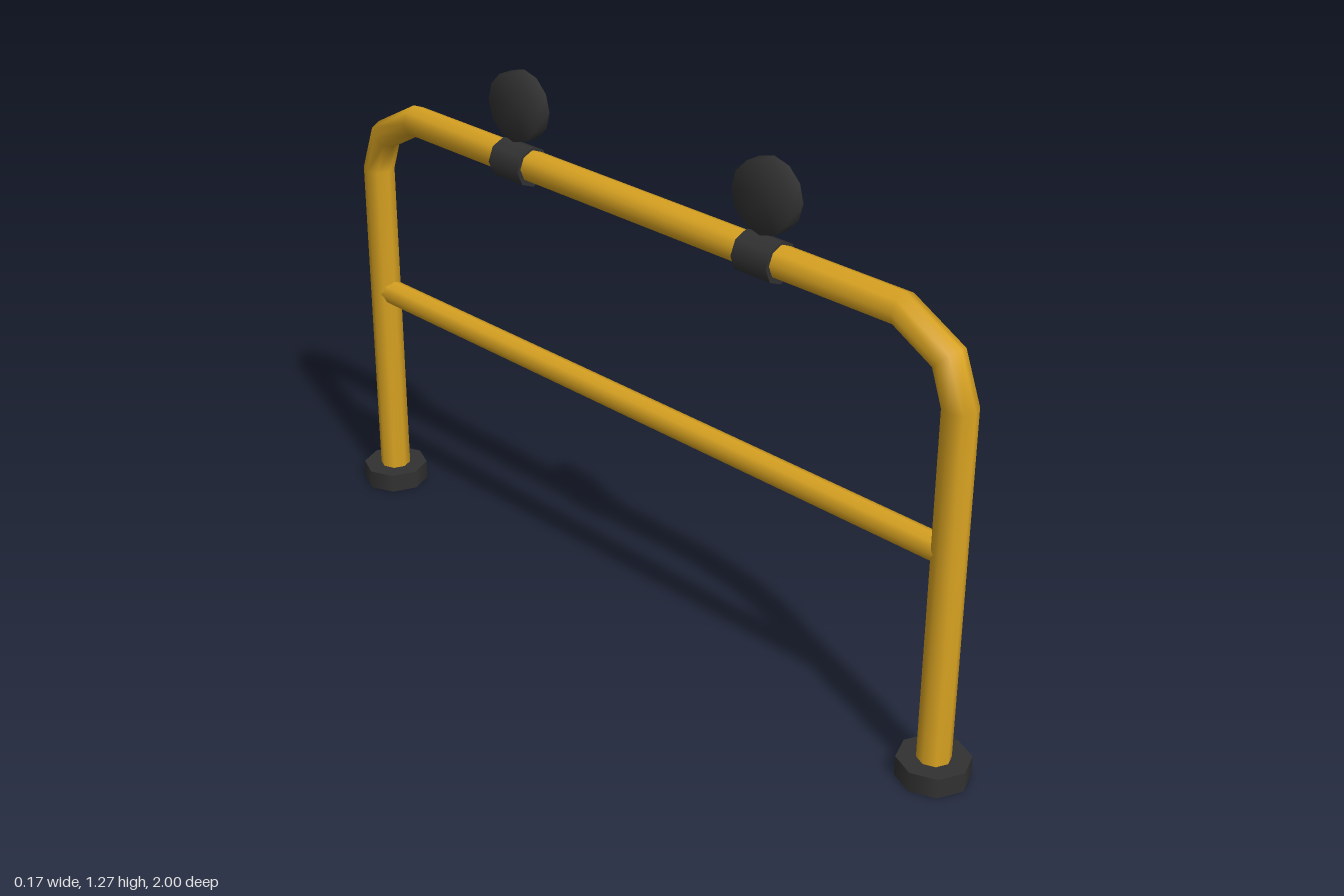
import * as THREE from 'three';

const SIDES = 8;
const POST_Z = 0.916, RAIL_Y = 1.054, PIPE_R = 0.0385;

// Pipe in the x = 0 plane, with one ring of vertices per [z, y, tilt] station
function pipeGeometry(stations, radius) {
  const positions = [], index = [];
  stations.forEach(([z, y, tilt]) => {
    // tilt 0 runs straight up, 90 degrees runs towards -z
    const a = THREE.MathUtils.degToRad(tilt);
    const nz = Math.cos(a), ny = Math.sin(a);
    for (let j = 0; j < SIDES; j++) {
      const t = (j / SIDES) * Math.PI * 2;
      const out = Math.sin(t) * radius;
      positions.push(Math.cos(t) * radius, y + ny * out, z + nz * out);
    }
  });
  for (let i = 0; i < stations.length - 1; i++) {
    for (let j = 0; j < SIDES; j++) {
      const k = (j + 1) % SIDES;
      const a = i * SIDES + j, b = i * SIDES + k;
      index.push(a, a + SIDES, b, b, a + SIDES, b + SIDES);
    }
  }
  const geometry = new THREE.BufferGeometry();
  geometry.setAttribute('position', new THREE.Float32BufferAttribute(positions, 3));
  geometry.setIndex(index);
  geometry.computeVertexNormals();
  return geometry;
}

export function createModel() {
  const yellow = new THREE.MeshStandardMaterial({ name: 'yellow paint', color: 0xd9a322, side: THREE.DoubleSide });
  const black = new THREE.MeshStandardMaterial({ name: 'black rubber', color: 0x323232 });
  const orange = new THREE.MeshStandardMaterial({ name: 'orange reflector', color: 0xe0662a, side: THREE.DoubleSide });

  const model = new THREE.Group();
  model.name = 'safetyBarrier';
  const add = (name, geometry, material, x, y, z) => {
    const mesh = new THREE.Mesh(geometry, material);
    mesh.name = name;
    mesh.position.set(x, y, z);
    model.add(mesh);
    return mesh;
  };

  // Hoop: two posts, two bends and the top rail as one pipe
  const half = [
    [POST_Z, 0.02, 0],
    [POST_Z, 0.89, 3],
    [0.88, 0.988, 43],
    [0.759, RAIL_Y, 82],
  ];
  const mirrored = half.map(([z, y, tilt]) => [-z, y, 180 - tilt]).reverse();
  add('hoop', pipeGeometry([...half, ...mirrored], PIPE_R), yellow, 0, 0, 0);

  // Lower crossbar
  const bar = new THREE.CylinderGeometry(0.031, 0.031, POST_Z * 2, SIDES);
  bar.rotateX(Math.PI / 2);
  add('crossbar', bar, yellow, 0, 0.556, 0);

  // Reflector profiles, spun around an axis that then points to +x
  const spin = (points) => new THREE.LatheGeometry(
    points.map(([r, h]) => new THREE.Vector2(r, h)), 12).rotateZ(-Math.PI / 2);
  const shell = spin([[0, -0.014], [0.083, -0.014], [0.083, 0.025], [0.079, 0.025]]);
  const dish = spin([[0.079, 0.025], [0.06, 0.012], [0.032, 0.003], [0, 0]]);

  const foot = new THREE.CylinderGeometry(0.083, 0.083, 0.048, SIDES);
  const clamp = new THREE.CylinderGeometry(0.048, 0.048, 0.1, SIDES).rotateX(Math.PI / 2);

  for (const [side, s] of [['front', 1], ['rear', -1]]) {
    add(side + 'Foot', foot, black, 0, 0.024, s * POST_Z);
    add(side + 'Clamp', clamp, black, 0, 1.05, s * 0.385);
    add(side + 'ReflectorShell', shell, black, 0, 1.185, s * 0.385);
    add(side + 'ReflectorDish', dish, orange, 0, 1.185, s * 0.385);
  }
  return model;
}
